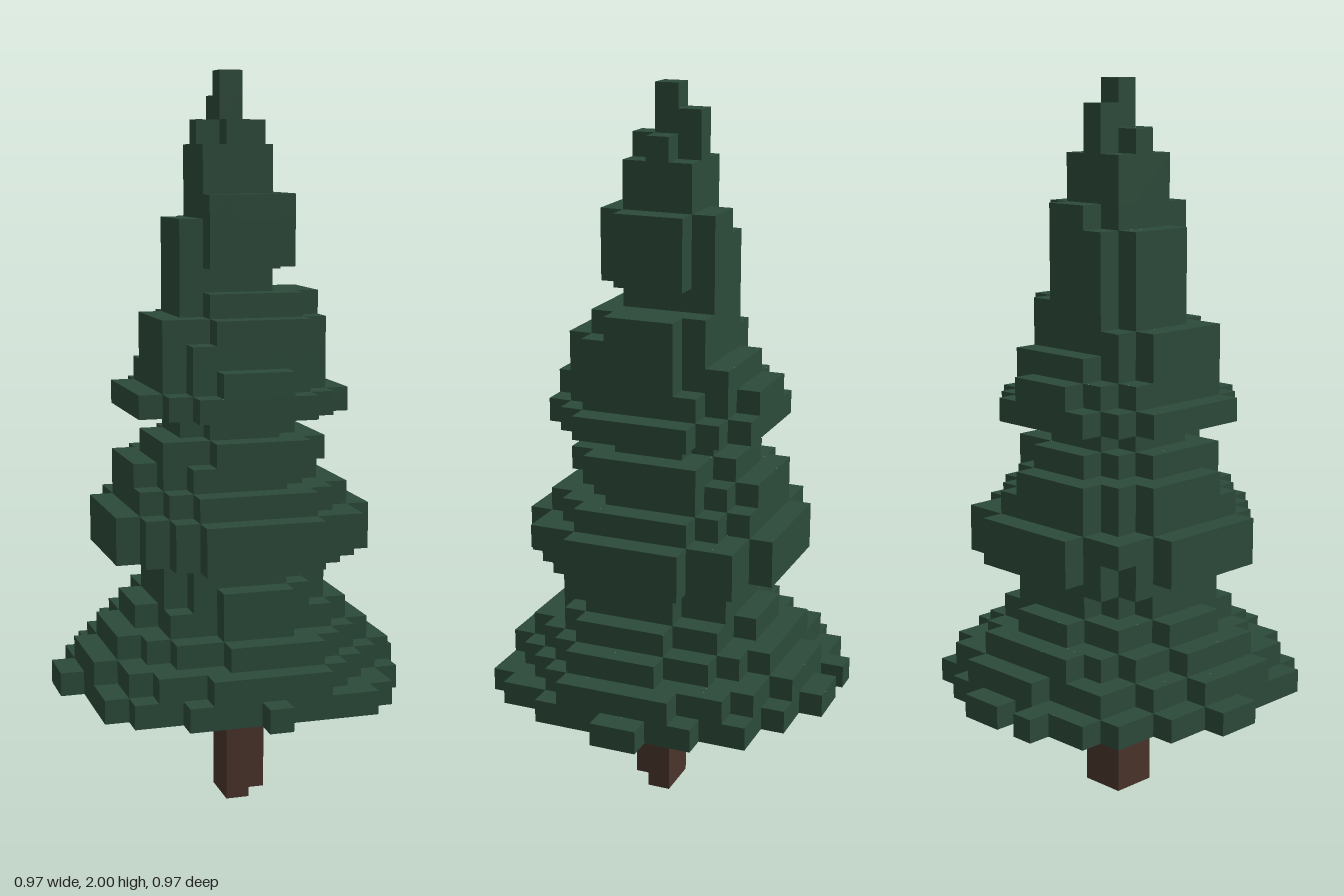
import * as THREE from 'three';
import { mergeGeometries } from 'three/addons/utils/BufferGeometryUtils.js';

const S = 2 / 31; // cube size; the tree is 31 cubes tall

const DIRS = [[1, 0, 0], [-1, 0, 0], [0, 1, 0], [0, -1, 0], [0, 0, 1], [0, 0, -1]];
const key = (x, y, z) => `${x},${y},${z}`;

// Skin of a set of cubes: one square for every exposed face
function cubeSkin(cells, solid) {
  const faces = [];
  const sides = DIRS.map(d => new THREE.PlaneGeometry(S, S)
    .translate(0, 0, S / 2).lookAt(new THREE.Vector3(...d)));
  for (const [x, y, z] of cells) {
    DIRS.forEach(([dx, dy, dz], i) => {
      if (!solid.has(key(x + dx, y + dy, z + dz))) {
        faces.push(sides[i].clone().translate(x * S, (y + 0.5) * S, z * S));
      }
    });
  }
  return mergeGeometries(faces);
}

// Repeatable jitter in -1..1 that makes the branch rows end unevenly
function jitter(side, y, z) {
  const n = Math.sin(side * 12.99 + y * 78.23 + z * 37.72) * 43758.55;
  return (n - Math.floor(n)) * 2 - 1;
}

// Lowest skirt of branches: rows of [z, first x, last x]
const SKIRT = [
  [-7, -2, -2], [-7, 0, 1], [-6, -4, 3], [-5, -5, 5], [-4, -5, 5], [-3, -6, 6],
  [-2, -6, 6], [-1, -7, 7], [0, -7, 7], [1, -6, 6], [2, -6, 6], [3, -6, 6],
  [4, -6, 5], [5, -5, 5], [6, -3, 4], [7, 0, 0],
];

// Reach of each layer above the skirt: [-x, +x, -z, +z] in cubes,
// then how far its rounded outline bulges beyond that reach
const LAYERS = [
  [6, 6, 6, 6, 0.4], [5, 5, 5, 5, 0.4], [4, 4, 4, 4, 0.4], [3, 3, 3, 4], [3, 3, 3, 3],
  [5, 5, 5, 5], [5, 5, 5, 5], [4, 4, 4, 4], [4, 3, 4, 3], [3, 3, 3, 3], [2, 2, 2, 2],
  [4, 4, 4, 4], [3, 3, 4, 4], [3, 3, 3, 3], [3, 3, 2, 3], [2, 3, 2, 2], [2, 1, 2, 1],
  [2, 2, 2, 2], [2, 2, 2, 2], [1, 2, 2, 2], [1, 1, 1, 1], [1, 1, 1, 1], [1, 1, 1, 1, 0.15],
  [0, 0, 1, 0], [0, 0, 0, 0],
];

function foliageCells() {
  const cells = [];
  for (const [z, a, b] of SKIRT) for (let x = a; x <= b; x++) cells.push([x, 5, z]);
  LAYERS.forEach(([xn, xp, zn, zp, bulge = 0.62], i) => {
    const y = 6 + i;
    for (let x = -xn; x <= xp; x++) {
      for (let z = -zn; z <= zp; z++) {
        const u = x / ((x < 0 ? xn : xp) + bulge);
        const v = z / ((z < 0 ? zn : zp) + bulge);
        const onAxis = x === 0 || z === 0;
        const limit = 1 + 0.06 * jitter(Math.sign(x), y, z);
        if (onAxis || u * u + v * v <= limit) cells.push([x, y, z]);
      }
    }
  });
  return cells;
}

// L-shaped trunk under the branches
function trunkCells() {
  const cells = [];
  for (let y = 0; y < 5; y++) cells.push([0, y, 0], [1, y, 0], [0, y, 1]);
  return cells;
}

export function createModel() {
  const needleGreen = new THREE.MeshStandardMaterial({ color: 0x2c4a3a });
  needleGreen.name = 'needleGreen';
  const barkBrown = new THREE.MeshStandardMaterial({ color: 0x4a342b });
  barkBrown.name = 'barkBrown';

  const foliage = foliageCells();
  const trunk = trunkCells();
  const solid = new Set([...foliage, ...trunk].map(c => key(...c)));

  const group = new THREE.Group();
  group.name = 'firTree';
  for (const [name, cells, material] of [
    ['foliage', foliage, needleGreen],
    ['trunk', trunk, barkBrown],
  ]) {
    const mesh = new THREE.Mesh(cubeSkin(cells, solid), material);
    mesh.name = name;
    group.add(mesh);
  }
  return group;
}
